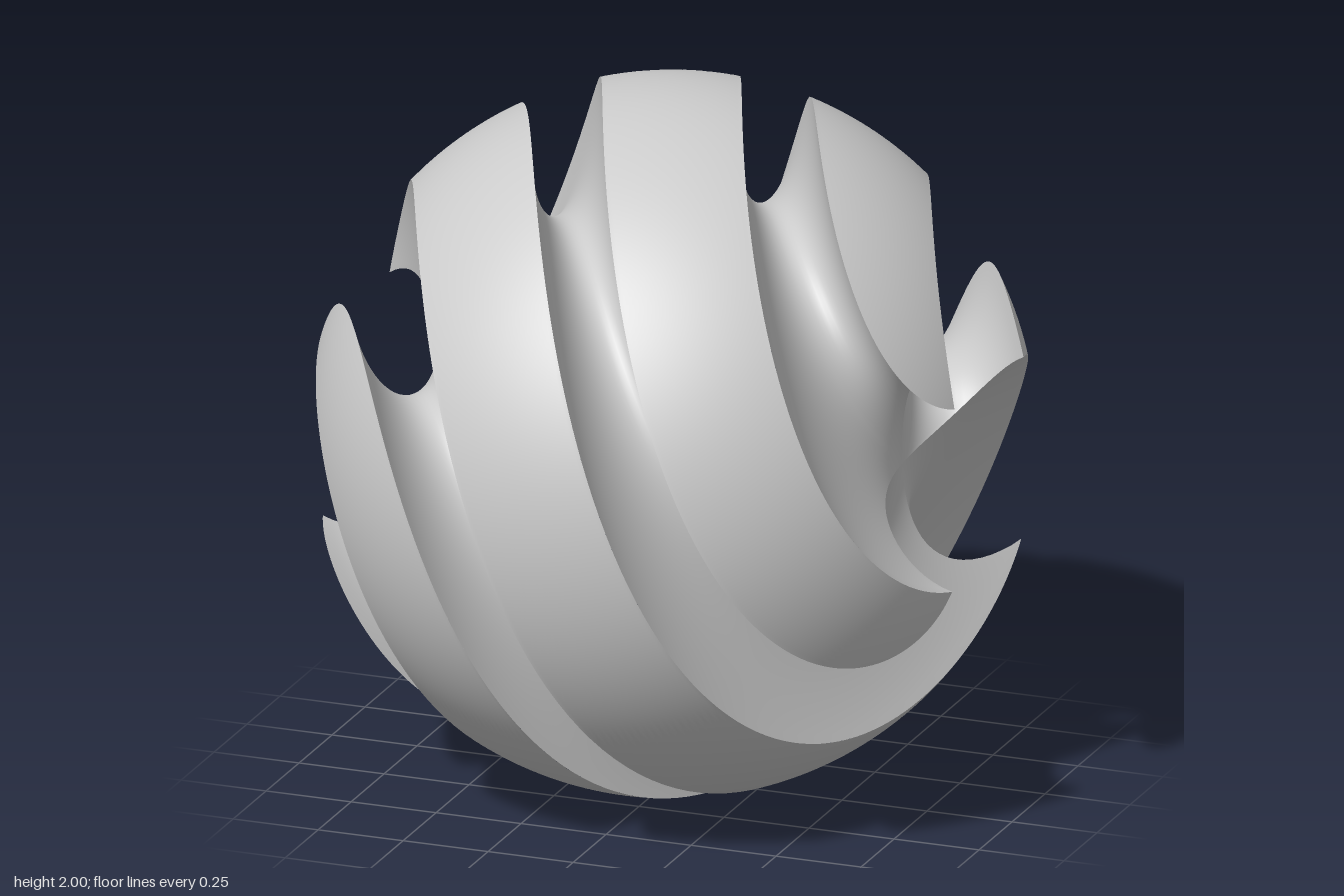
import * as THREE from 'three';
import { ParametricGeometry } from 'three/addons/geometries/ParametricGeometry.js';

const RING = 0.94;   // radius of the groove's centre line
const TUBE = 0.263;  // radius of the groove's round section
const TWIST = 2.5;   // radians of twist per unit along x

// Tube angle at which the groove breaks through the unit sphere, and its half width there
const OPEN = Math.acos((RING * RING + TUBE * TUBE - 1) / (2 * RING * TUBE));
const HALF = TUBE * Math.sin(OPEN);
const TIP = Math.sqrt(1 - 2 * HALF * HALF);

// Turn a point about the x axis by an amount that grows along x
function twist(p, quarter) {
  const a = Math.PI / 4 + quarter * Math.PI / 2 - TWIST * p.x;
  const { y, z } = p;
  p.y = y * Math.cos(a) + z * Math.sin(a);
  p.z = z * Math.cos(a) - y * Math.sin(a);
}

// Outer skin between two grooves, pointed at both ends
function bandPoint(u, v, p) {
  const x = TIP * Math.sin((u - 0.5) * Math.PI);
  const r = Math.sqrt(1 - x * x);
  const edge = Math.asin(Math.min(1, HALF / r));
  const angle = edge + v * (Math.PI / 2 - 2 * edge);
  p.set(x, r * Math.sin(angle), r * Math.cos(angle));
}

// Inner half of a ring tube, trimmed where it meets the neighbouring grooves
function groovePoint(u, v, p) {
  const t = (2 * v - 1) * OPEN;
  const rho = RING - TUBE * Math.cos(t);
  const z = TUBE * Math.sin(t);
  const start = Math.asin(Math.abs(z) / rho);
  const a = start + u * (Math.PI - 2 * start);
  p.set(rho * Math.cos(a), rho * Math.sin(a), z);
}

function twistedPatch(name, point, quarter, slices, stacks, material) {
  const geometry = new ParametricGeometry((u, v, p) => {
    point(u, v, p);
    twist(p, quarter);
  }, slices, stacks);
  geometry.computeVertexNormals();
  const mesh = new THREE.Mesh(geometry, material);
  mesh.name = name;
  return mesh;
}

export function createModel() {
  const model = new THREE.Group();
  model.name = 'twistedGroovedBall';
  const material = new THREE.MeshStandardMaterial({ color: 0xcccccc });

  // Four bands and four grooves around the x axis
  for (let i = 0; i < 4; i++) {
    model.add(twistedPatch('spiralBand' + (i + 1), bandPoint, i, 140, 32, material));
    model.add(twistedPatch('spiralGroove' + (i + 1), groovePoint, i, 140, 40, material));
  }
  model.children.forEach((mesh) => { mesh.position.y = 1; });
  return model;
}
